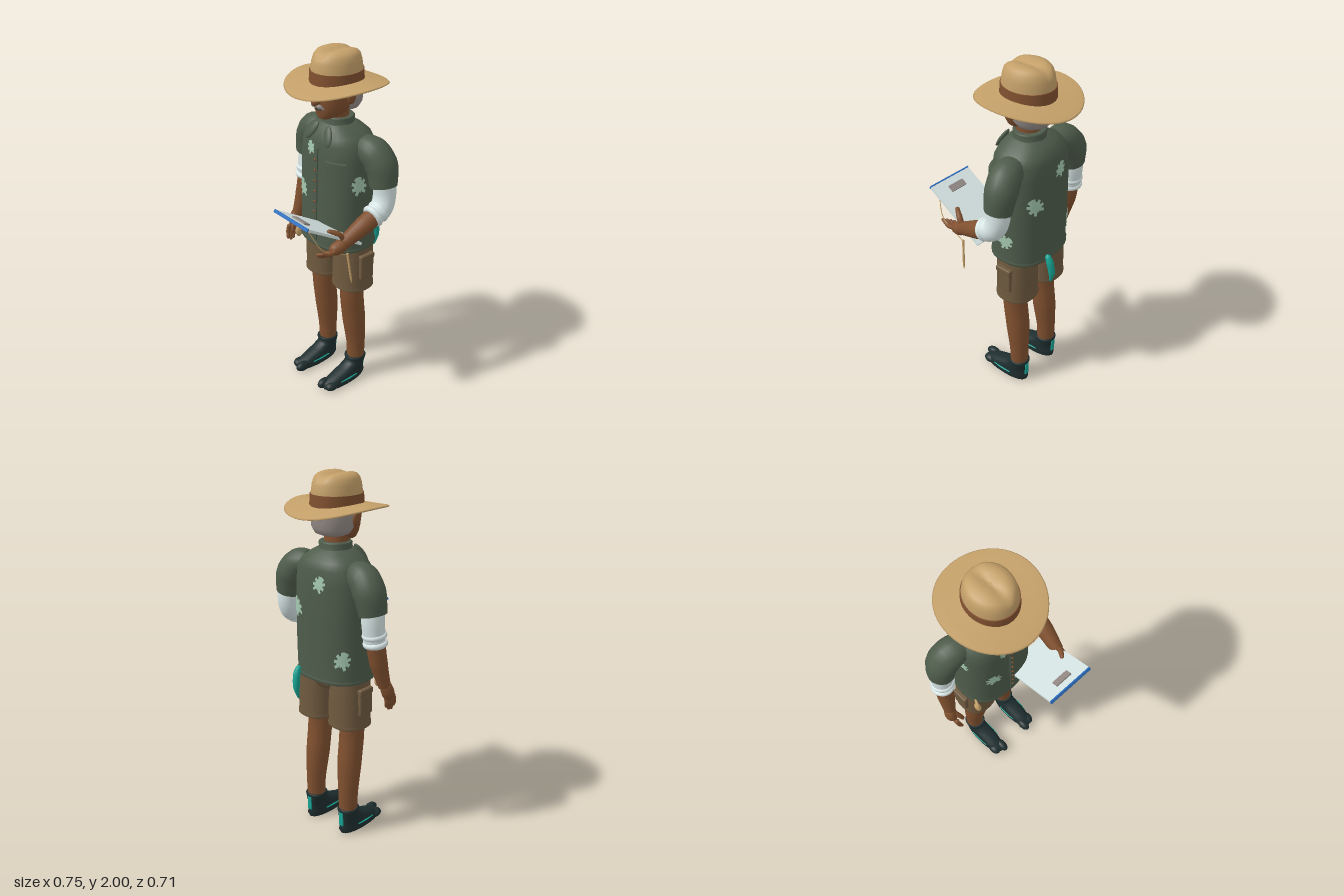
import * as THREE from 'three';
import { RoundedBoxGeometry } from 'three/addons/geometries/RoundedBoxGeometry.js';

const paint = (name, color, side = THREE.FrontSide) => {
  const m = new THREE.MeshStandardMaterial({ color, side });
  m.name = name;
  return m;
};
const V = (p) => new THREE.Vector3(...p);

// Closed surface through a list of point rings, with flat end caps
function skin(rings) {
  const n = rings[0].length, pos = [], idx = [];
  const add = (p) => pos.push(p.x, p.y, p.z) / 3 - 1;
  rings.forEach((r) => r.forEach(add));
  for (let i = 0; i < rings.length - 1; i++) for (let j = 0; j < n; j++) {
    const a = i * n + j, b = i * n + (j + 1) % n;
    idx.push(a, b, b + n, a, b + n, a + n);
  }
  [rings[0], rings[rings.length - 1]].forEach((r, end) => {
    const c = add(r.reduce((s, p) => s.add(p), new THREE.Vector3()).divideScalar(n));
    const ids = r.map(add);
    ids.forEach((a, j) => { const b = ids[(j + 1) % n]; end ? idx.push(c, a, b) : idx.push(c, b, a); });
  });
  const g = new THREE.BufferGeometry();
  g.setAttribute('position', new THREE.Float32BufferAttribute(pos, 3));
  g.setIndex(idx);
  g.computeVertexNormals();
  return g;
}

// Radius of a rounded-oval section in direction a (0 = front, positive towards +x)
const oval = (a, rx, rz, e) =>
  (Math.abs(Math.sin(a) / rx) ** e + Math.abs(Math.cos(a) / rz) ** e) ** (-1 / e);

// Upright loft; each row is [y, rx, rz, cz]
function loft(rows, cx = 0, e = 2, n = 40) {
  return skin(rows.map(([y, rx, rz, cz]) => Array.from({ length: n }, (_, j) => {
    const a = j / n * Math.PI * 2, r = oval(a, rx, rz, e);
    return new THREE.Vector3(cx + Math.sin(a) * r, y, cz + Math.cos(a) * r);
  })));
}

// Tapered tube along a smooth path; round gives domed ends
function limb(pts, radii, round = false, steps = 18, n = 18) {
  const c = new THREE.CatmullRomCurve3(pts.map(V)), f = c.computeFrenetFrames(steps), len = c.getLength();
  const rings = [];
  for (let i = 0; i <= steps; i++) {
    const u = i / steps, t = c.getUtoTmapping(u) * (radii.length - 1), k = Math.min(Math.floor(t), radii.length - 2);
    let r = THREE.MathUtils.lerp(radii[k], radii[k + 1], t - k);
    if (round) {
      const d = Math.min(1, Math.min(u, 1 - u) * len / r);
      r *= Math.max(0.05, Math.sqrt(1 - (1 - d) ** 2));
    }
    const p = c.getPointAt(u);
    rings.push(Array.from({ length: n }, (_, j) => {
      const a = j / n * Math.PI * 2;
      return p.clone().addScaledVector(f.normals[i], r * Math.cos(a)).addScaledVector(f.binormals[i], r * Math.sin(a));
    }));
  }
  return skin(rings);
}

const SHIRT = [[0.93, 0.208, 0.16, -0.097], [0.935, 0.217, 0.169, -0.097], [0.95, 0.217, 0.169, -0.097],
  [0.955, 0.211, 0.163, -0.097], [1.1, 0.215, 0.163, -0.098], [1.3, 0.213, 0.16, -0.1], [1.45, 0.212, 0.157, -0.1],
  [1.53, 0.2, 0.15, -0.1], [1.57, 0.17, 0.135, -0.1], [1.6, 0.125, 0.11, -0.095], [1.62, 0.09, 0.085, -0.09]];

// Wraps a flat geometry onto the shirt around direction a0 and height y0
function onShirt(g, a0, y0, off) {
  const p = g.attributes.position;
  for (let i = 0; i < p.count; i++) {
    const y = y0 + p.getY(i);
    const k = Math.max(0, SHIRT.findIndex((r) => r[0] >= y) - 1), A = SHIRT[k], B = SHIRT[k + 1];
    const t = (y - A[0]) / (B[0] - A[0]), [rx, rz, cz] = [1, 2, 3].map((q) => A[q] + (B[q] - A[q]) * t);
    const a = a0 + p.getX(i) / oval(a0, rx, rz, 2.5), r = oval(a, rx, rz, 2.5) + off + p.getZ(i);
    p.setXYZ(i, Math.sin(a) * r, y, cz + Math.cos(a) * r);
  }
  g.computeVertexNormals();
  return g;
}

// Broad leaf with notched edges
function leaf(size, tilt) {
  const g = new THREE.RingGeometry(0.01, 1, 72, 5), p = g.attributes.position;
  for (let i = 0; i < p.count; i++) {
    const x = p.getX(i), y = p.getY(i), a = Math.atan2(x, y), r = Math.hypot(x, y);
    const notch = Math.abs(a) > 0.35 && Math.cos(a * 9) > 0.55 ? 0.68 : 1;
    const s = size * (r > 0.5 ? notch : 1) * (Math.abs(a) > 2.85 ? 0.6 : 1);
    p.setXY(i, x * s * 0.82, y * s * 1.1);
  }
  return g.rotateZ(tilt);
}

export function createModel() {
  const root = new THREE.Group();
  const skinM = paint('brownSkin', 0x80502f), green = paint('shirtGreen', 0x4e5c4b), white = paint('white', 0xdcebea),
    tan = paint('strawTan', 0xc4a069), khaki = paint('shortsBrown', 0x6f5a3f), dark = paint('shoeDark', 0x1f2e2f),
    teal = paint('teal', 0x17a493), mint = paint('leafMint', 0xa4c8b0, THREE.DoubleSide),
    blue = paint('blue', 0x2d6fc0), grey = paint('hairGrey', 0x948b87);
  const add = (name, g, m, parent = root) => {
    const o = new THREE.Mesh(g, m);
    o.name = name;
    parent.add(o);
    return o;
  };
  const ball = (name, m, pos, size) => {
    const o = add(name, new THREE.SphereGeometry(1, 20, 14), m);
    o.position.set(...pos);
    o.scale.set(...size);
    return o;
  };

  // Hat: saddle-shaped brim, pinched crown, band
  const brim = new THREE.LatheGeometry([[0.1, 1.832], [0.2, 1.834], [0.25, 1.84], [0.256, 1.845], [0.25, 1.85],
    [0.2, 1.848], [0.1, 1.852]].map((p) => new THREE.Vector2(...p)), 56);
  const bp = brim.attributes.position;
  for (let i = 0; i < bp.count; i++) {
    const z = bp.getZ(i) * 1.063;
    bp.setXYZ(i, bp.getX(i), bp.getY(i) - 0.6 * z * z, z - 0.08);
  }
  brim.computeVertexNormals();
  add('hatBrim', brim, tan);
  const crown = loft([[1.835, 0.127, 0.143, -0.08], [1.9, 0.123, 0.138, -0.08], [1.94, 0.118, 0.132, -0.08],
    [1.97, 0.11, 0.122, -0.08], [1.988, 0.095, 0.106, -0.08], [1.998, 0.07, 0.08, -0.08], [2.001, 0.04, 0.05, -0.08],
    [2.001, 0.01, 0.015, -0.08]]);
  const cp = crown.attributes.position;
  for (let i = 0; i < cp.count; i++) if (cp.getY(i) > 1.96) {
    cp.setY(i, cp.getY(i) - 0.017 * Math.exp(-((cp.getX(i) / 0.032) ** 2)));
  }
  crown.computeVertexNormals();
  add('hatCrown', crown, tan);
  add('hatBand', loft([[1.835, 0.131, 0.147, -0.08], [1.895, 0.128, 0.143, -0.08]]), skinM);

  // Head and face
  add('head', loft([[1.655, 0.035, 0.035, -0.005], [1.668, 0.062, 0.062, -0.027], [1.7, 0.09, 0.098, -0.055],
    [1.74, 0.11, 0.124, -0.078], [1.79, 0.12, 0.132, -0.082], [1.85, 0.118, 0.13, -0.082]]), skinM);
  add('hair', loft([[1.69, 0.07, 0.06, -0.115], [1.7, 0.095, 0.083, -0.115], [1.73, 0.115, 0.1, -0.112],
    [1.79, 0.123, 0.106, -0.11], [1.845, 0.121, 0.105, -0.11]]), grey);
  add('neck', limb([[0, 1.56, -0.09], [0, 1.7, -0.08]], [0.066, 0.064]), skinM);
  ball('nose', skinM, [0, 1.75, 0.056], [0.022, 0.022, 0.027]);
  ball('noseBridge', skinM, [0, 1.778, 0.045], [0.012, 0.03, 0.02]);
  ball('mouth', dark, [0, 1.707, 0.041], [0.022, 0.005, 0.008]);
  for (const s of [1, -1]) {
    ball('eye', white, [s * 0.046, 1.788, 0.035], [0.021, 0.012, 0.01]);
    ball('pupil', dark, [s * 0.045, 1.788, 0.042], [0.009, 0.01, 0.006]);
    add('eyebrow', limb([[s * 0.022, 1.808, 0.05], [s * 0.05, 1.815, 0.043], [s * 0.076, 1.806, 0.027]], [0.006, 0.007, 0.004], true), dark);
    add('moustache', limb([[0, 1.73, 0.058], [s * 0.024, 1.729, 0.054], [s * 0.044, 1.713, 0.038]], [0.009, 0.011, 0.004], true), grey);
    ball('ear', skinM, [s * 0.122, 1.778, -0.07], [0.014, 0.036, 0.026]);
  }

  // Shirt, collar, placket and pocket
  add('shirt', loft(SHIRT, 0, 2.5), green);
  add('collar', loft([[1.595, 0.1, 0.095, -0.092], [1.625, 0.085, 0.083, -0.092], [1.648, 0.09, 0.084, -0.092],
    [1.655, 0.084, 0.078, -0.092]]), green);
  add('placket', onShirt(new THREE.BoxGeometry(0.026, 0.54, 0.008, 2, 30, 1), 0, 1.235, 0.003), green);
  for (let i = 0; i < 8; i++) add('button', onShirt(new THREE.SphereGeometry(0.007, 10, 8), 0, 1.02 + i * 0.06, 0.008), skinM);
  add('chestPocket', onShirt(new THREE.BoxGeometry(0.105, 0.1, 0.016, 6, 4, 1), 0.72, 1.395, 0.006), green);
  add('pocketFlap', onShirt(new THREE.BoxGeometry(0.11, 0.03, 0.02, 6, 2, 1), 0.72, 1.44, 0.009), green);
  [[-0.25, 1.49, 0.036, 0.3], [-0.64, 1.235, 0.05, 0.2], [0.36, 1.05, 0.04, 1.2], [1.35, 1.325, 0.052, 0.2],
    [1.62, 1.075, 0.05, -0.9], [-1.42, 1.41, 0.042, 0], [2.4, 1.31, 0.052, 0.5], [3.38, 1.46, 0.043, -0.4],
    [-2.22, 1.07, 0.05, -0.3]].forEach(([a, y, size, tilt]) => add('leafPrint', onShirt(leaf(size, tilt), a, y, 0.004), mint));

  for (const s of [1, -1]) {
    const flap = ball('collarFlap', green, [s * 0.062, 1.578, 0.032], [0.026, 0.056, 0.012]);
    flap.rotation.set(-0.45, 0, s * 0.45);
    // Sleeves
    add('sleeve', limb([[s * 0.16, 1.51, -0.12], [s * 0.225, 1.5, -0.13], [s * 0.275, 1.44, -0.142], [s * 0.298, 1.335, -0.14]],
      [0.07, 0.083, 0.085, 0.072]), green);
    add('shoulderSeam', limb([[s * 0.17, 1.5, -0.12], [s * 0.255, 1.485, -0.13]], [0.088, 0.084], true), green);

    // Shorts
    add('shortsLeg', loft([[0.668, 0.106, 0.106, -0.11], [0.672, 0.112, 0.111, -0.11], [0.688, 0.112, 0.111, -0.11],
      [0.692, 0.108, 0.108, -0.11], [0.8, 0.108, 0.108, -0.11], [0.95, 0.1, 0.105, -0.108]], s * 0.114, 2.3), khaki);
    add('cargoPocket', new RoundedBoxGeometry(0.026, 0.15, 0.092, 2, 0.008), khaki).position.set(s * 0.222, 0.83, -0.108);
    add('cargoFlap', new RoundedBoxGeometry(0.03, 0.035, 0.097, 2, 0.008), khaki).position.set(s * 0.223, 0.888, -0.108);

    // Legs and split-toe shoes
    add('leg', limb([[s * 0.12, 0.74, -0.1], [s * 0.12, 0.6, -0.1], [s * 0.121, 0.42, -0.12], [s * 0.125, 0.25, -0.134],
      [s * 0.125, 0.11, -0.135]], [0.07, 0.068, 0.067, 0.055, 0.05]), skinM);
    add('shoe', loft([[0.004, 0.05, 0.148, -0.04], [0.018, 0.057, 0.155, -0.04], [0.045, 0.054, 0.148, -0.045],
      [0.07, 0.05, 0.115, -0.075], [0.09, 0.049, 0.085, -0.105], [0.11, 0.052, 0.06, -0.131], [0.135, 0.053, 0.058, -0.133],
      [0.139, 0.058, 0.062, -0.133], [0.15, 0.058, 0.062, -0.133], [0.155, 0.053, 0.058, -0.133]], s * 0.125, 2.2), dark);
    ball('bigToe', dark, [s * 0.1, 0.03, 0.088], [0.027, 0.03, 0.047]);
    ball('outerToes', dark, [s * 0.148, 0.026, 0.072], [0.031, 0.026, 0.042]);
    for (const k of [1, -1]) add('shoeStripe', limb([[s * 0.125 + k * 0.05, 0.042, 0.025], [s * 0.125 + k * 0.055, 0.045, -0.04],
      [s * 0.125 + k * 0.052, 0.045, -0.105]], [0.003, 0.005, 0.004], true), teal);
    add('heelTab', new THREE.BoxGeometry(0.026, 0.08, 0.008), teal).position.set(s * 0.125, 0.095, -0.191);
  }
  add('shortsSeat', loft([[0.855, 0.05, 0.06, -0.1], [0.875, 0.12, 0.1, -0.1], [0.91, 0.18, 0.12, -0.1], [0.96, 0.2, 0.13, -0.1]]), khaki);

  // Rolled cuffs, aligned with the arm direction
  const cuff = (pos, dir, r) => {
    const o = add('rolledCuff', new THREE.TorusGeometry(r, 0.017, 12, 28), white);
    o.position.set(...pos);
    o.quaternion.setFromUnitVectors(new THREE.Vector3(0, 0, 1), V(dir).normalize());
  };
  // Hanging right arm
  add('underSleeve', limb([[-0.295, 1.4, -0.14], [-0.3, 1.3, -0.142], [-0.306, 1.17, -0.132]], [0.06, 0.06, 0.056]), white);
  cuff([-0.304, 1.228, -0.135], [-0.05, -1, 0.1], 0.048);
  cuff([-0.308, 1.185, -0.132], [-0.05, -1, 0.1], 0.048);
  add('forearm', limb([[-0.307, 1.2, -0.132], [-0.315, 1.07, -0.112], [-0.33, 0.94, -0.08]], [0.05, 0.047, 0.033]), skinM);
  add('palm', limb([[-0.33, 0.965, -0.085], [-0.338, 0.91, -0.065], [-0.335, 0.86, -0.047]], [0.03, 0.035, 0.03], true), skinM);
  for (let i = 0; i < 4; i++) {
    const z = -0.078 + i * 0.019, l = [0.81, 0.79, 0.785, 0.8][i];
    add('finger', limb([[-0.337, 0.885, z], [-0.337, 0.84, z + 0.012], [-0.32, l, z + 0.025]], [0.012, 0.012, 0.009], true), skinM);
  }
  add('thumb', limb([[-0.325, 0.925, -0.055], [-0.308, 0.885, -0.025], [-0.297, 0.845, -0.012]], [0.014, 0.013, 0.01], true), skinM);

  // Bent left arm
  add('underSleeve', limb([[0.297, 1.4, -0.14], [0.305, 1.28, -0.142], [0.311, 1.22, -0.115], [0.31, 1.195, -0.06]],
    [0.06, 0.06, 0.06, 0.055]), white);
  cuff([0.311, 1.208, -0.095], [0, -0.4, 1], 0.046);
  cuff([0.31, 1.193, -0.06], [0, -0.4, 1], 0.046);
  add('forearm', limb([[0.31, 1.205, -0.1], [0.304, 1.157, 0], [0.288, 1.092, 0.125]], [0.05, 0.049, 0.035]), skinM);
  add('palm', limb([[0.288, 1.1, 0.1], [0.282, 1.075, 0.15], [0.272, 1.066, 0.2]], [0.032, 0.036, 0.029], true), skinM);
  for (let i = 0; i < 4; i++) {
    const x = 0.3 - i * 0.02, y = 1.075 - i * 0.012;
    add('finger', limb([[x, y, 0.18], [x - 0.006, y - 0.008, 0.22], [x - 0.016, y + 0.008, 0.275 - i * 0.008]], [0.012, 0.013, 0.009], true), skinM);
  }
  add('thumb', limb([[0.29, 1.105, 0.12], [0.278, 1.15, 0.15], [0.245, 1.172, 0.197]], [0.016, 0.016, 0.011], true), skinM);

  // Clipboard with clip, cord and pencil
  const board = new THREE.Group();
  board.name = 'clipboard';
  board.position.set(0.153, 1.143, 0.172);
  board.rotation.set(-0.53, -0.045, 0);
  root.add(board);
  add('board', new THREE.BoxGeometry(0.275, 0.014, 0.4), white, board);
  add('blueEdge', new THREE.BoxGeometry(0.277, 0.017, 0.008), blue, board).position.z = 0.2;
  add('clip', new THREE.BoxGeometry(0.1, 0.01, 0.038), grey, board).position.set(0, 0.011, 0.135);
  add('cord', limb([[0.25, 1.215, 0.32], [0.29, 1.1, 0.26], [0.3, 1.05, 0.16], [0.302, 1.02, 0.105]], [0.0025, 0.0025], false, 20, 6), tan);
  add('pencil', limb([[0.302, 1.03, 0.107], [0.319, 0.88, 0.094], [0.322, 0.855, 0.091]], [0.006, 0.006, 0.002], false, 8, 8), tan);

  // Hip pouch and hanging cloth
  add('hipPouchLoop', new THREE.TorusGeometry(0.024, 0.006, 8, 20).rotateY(1.2), tan).position.set(-0.21, 0.965, 0.012);
  ball('hipPouch', tan, [-0.207, 0.91, 0.012], [0.016, 0.036, 0.024]);
  add('backCloth', limb([[0.085, 1.005, -0.285], [0.085, 0.96, -0.305], [0.08, 0.89, -0.316], [0.075, 0.82, -0.305]],
    [0.013, 0.02, 0.018, 0.005], true), teal);
  return root;
}
